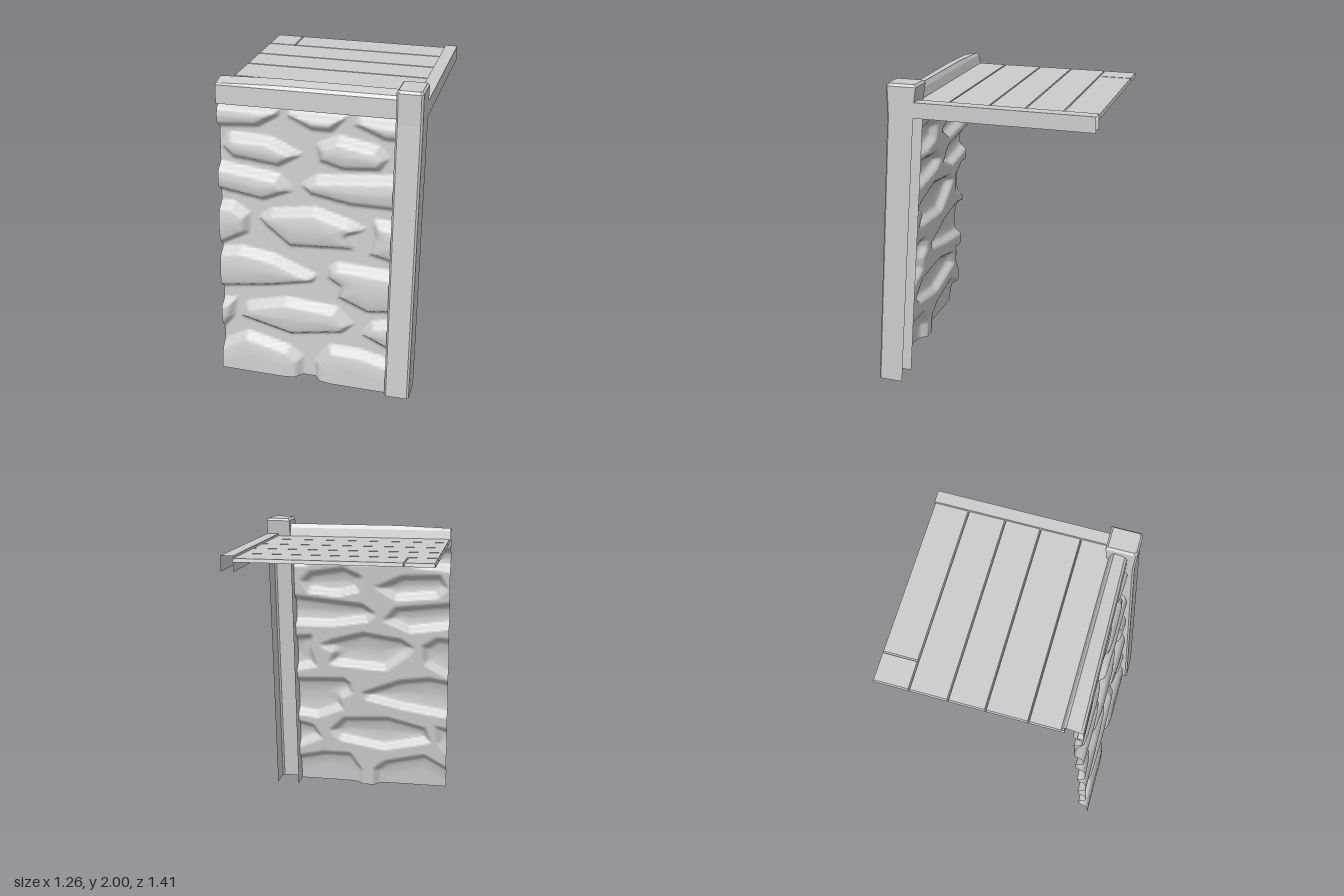
import * as THREE from 'three';

const grey = (flat) => new THREE.MeshStandardMaterial({ color: 0xcccccc, flatShading: flat, side: THREE.DoubleSide });

// Skin a grid of [x, y, z] rows into one sheet; rows run left to right, bottom to top.
function sheet(name, rows, smooth = false) {
  const n = rows[0].length, index = [];
  for (let r = 0; r < rows.length - 1; r++) {
    for (let c = 0; c < n - 1; c++) {
      const a = r * n + c, d = a + n;
      index.push(a, a + 1, d + 1, a, d + 1, d);
    }
  }
  let geo = new THREE.BufferGeometry();
  geo.setAttribute('position', new THREE.Float32BufferAttribute(rows.flat(2), 3));
  geo.setIndex(index);
  if (!smooth) geo = geo.toNonIndexed();
  geo.computeVertexNormals();
  const mesh = new THREE.Mesh(geo, grey(!smooth));
  mesh.name = name;
  return mesh;
}

// Stone outlines, as x, y pairs on the wall face
const stones = [];
const stone = (...v) => {
  const pts = [];
  for (let i = 0; i < v.length; i += 2) pts.push([v[i], v[i + 1]]);
  stones.push(pts);
};
// bottom course
stone(-.8, .14, -.63, .18, -.47, .27, -.18, .2, -.09, .13, -.1, -.2, -.8, -.2);
stone(0, -.2, -.01, .12, .08, .25, .28, .25, .6, .18, .6, -.2);
// second course
stone(-.8, .46, -.54, .5, -.56, .36, -.63, .27, -.8, .27);
stone(-.52, .37, -.48, .48, -.2, .55, .13, .53, .24, .42, .17, .35, -.17, .29);
stone(.29, .36, .35, .46, .6, .52, .6, .22);
// third course
stone(-.8, .82, -.5, .87, -.28, .84, 0, .73, -.03, .68, -.3, .62, -.63, .57, -.8, .57);
stone(.07, .8, .12, .84, .6, .82, .6, .56, .33, .52, .13, .6, .14, .68, .06, .73);
// fourth course
stone(-.8, 1.15, -.55, 1.17, -.44, 1.1, -.45, .97, -.63, .87, -.8, .87);
stone(-.39, 1.09, -.3, 1.15, -.02, 1.19, .2, 1.13, .31, 1.08, .2, 1.03, .24, .94, -.18, .91, -.34, 1.03);
stone(.34, 1.16, .6, 1.14, .6, .86, .32, .92, .35, 1.05);
// fifth course
stone(-.8, 1.45, -.6, 1.42, -.25, 1.38, -.16, 1.28, -.35, 1.2, -.63, 1.24, -.8, 1.25);
stone(-.12, 1.33, -.02, 1.4, .6, 1.46, .6, 1.23, .2, 1.23, -.05, 1.27);
// sixth course
stone(-.62, 1.53, -.57, 1.62, -.3, 1.61, -.1, 1.52, -.25, 1.43, -.55, 1.46);
stone(-.02, 1.6, .12, 1.66, .36, 1.62, .43, 1.55, .38, 1.47, .15, 1.45, 0, 1.49);
// top course
stone(-.8, 1.82, -.24, 1.8, -.25, 1.75, -.38, 1.67, -.63, 1.65, -.8, 1.65);
stone(-.2, 1.79, -.2, 1.75, -.05, 1.68, .08, 1.68, .18, 1.79);
stone(.2, 1.74, .24, 1.79, .6, 1.79, .6, 1.66, .4, 1.66);

// Distance from a point inward to the outline (0 when outside)
function depthInside(pts, x, y) {
  let inside = false, best = Infinity;
  pts.forEach(([ax, ay], i) => {
    const [bx, by] = pts[(i + 1) % pts.length];
    if ((ay > y) !== (by > y) && x < ax + (bx - ax) * (y - ay) / (by - ay)) inside = !inside;
    const dx = bx - ax, dy = by - ay;
    const t = THREE.MathUtils.clamp(((x - ax) * dx + (y - ay) * dy) / (dx * dx + dy * dy), 0, 1);
    best = Math.min(best, Math.hypot(x - ax - t * dx, y - ay - t * dy));
  });
  return inside ? best : 0;
}

// Steep rim followed by a soft dome
function bulge(x, y) {
  const d = Math.max(...stones.map((s) => depthInside(s, x, y)));
  return .035 * Math.min(d / .035, 1) + .025 * (1 - (1 - Math.min(d / .14, 1)) ** 2);
}

const LEAN = .078; // backward slope of wall and post

function stoneWall() {
  const rows = [], nx = 80, ny = 130;
  for (let j = 0; j <= ny; j++) {
    const y = 1.83 * j / ny, row = [];
    for (let i = 0; i <= nx; i++) {
      const x = -.63 + 1.11 * i / nx;
      row.push([x, y, .612 - LEAN * y + bulge(x, y)]);
    }
    rows.push(row);
  }
  return sheet('stoneWall', rows, true);
}

// Post outline at one height: open at the back, chamfered at the front
function postRing(y, back, front, inset = 0) {
  const l = .47 + inset, r = .628 - inset, f = front - inset, b = back + inset, c = .012;
  return [[l, y, b], [l, y, f - c], [l + c, y, f], [r - c, y, f], [r, y, f - c], [r, y, b]];
}

function cornerPost() {
  const group = new THREE.Group();
  group.name = 'cornerPost';
  group.add(sheet('postShaft', [postRing(0, .54, .703), postRing(1.8, .393, .562), postRing(1.88, .388, .562)]));
  // closed cap with a bevelled top
  const close = (ring) => [...ring, ring[0]];
  const top = close(postRing(2, .37, .562, .012));
  group.add(sheet('postCap', [
    close(postRing(1.88, .388, .562)), close(postRing(1.985, .37, .562)),
    top, top.map(() => [.549, 2, .466]),
  ]));
  return group;
}

// Board with its edges turned down, so neighbours form a narrow groove
function board(x0, x1, z0, z1) {
  const e = .005, y = 1.88, drop = .022;
  const xs = [x0, x0 + e, x1 - e, x1], zs = [z1, z1 - e, z0 + e, z0];
  return sheet('deckBoard', zs.map((z, j) => xs.map((x, i) =>
    [x, j % 3 === 0 || i % 3 === 0 ? y - drop : y, z])));
}

function deck() {
  const group = new THREE.Group();
  group.name = 'deck';
  const joints = [-.49, -.26, -.04, .21, .42];
  for (let i = 0; i < 4; i++) group.add(board(-.63, .555, joints[i], joints[i + 1]));
  group.add(board(-.63, -.45, -.705, -.49), board(-.45, .555, -.705, -.49));
  // channel along the side, open below and at its ends
  const section = [[.55, 1.8], [.55, 1.895], [.628, 1.895], [.628, 1.8]];
  group.add(sheet('sideTrim', [.395, -.705].map((z) => section.map(([x, y]) => [x, y, z]))));
  return group;
}

// Slightly warped timber on top of the wall, as stations along x
function topBeam() {
  const stations = [[-.63, -.012, 0], [-.27, 0, .022], [.17, 0, 0], [.48, 0, -.004]];
  const rows = stations.map(([x, rise, belly]) => {
    const f = .525 - .018 * (x + .63);
    return [[x, 1.81 + belly, f - .03], [x, 1.81, f + .006], [x, 1.925, f], [x, 1.945 + rise, f - .015],
      [x, 1.963 + rise, .425], [x, 1.935, .41], [x, 1.87, .395]];
  });
  return sheet('topBeam', rows.reverse());
}

export function createModel() {
  const model = new THREE.Group();
  model.name = 'stoneWallWithDeck';
  model.add(stoneWall(), cornerPost(), deck(), topBeam());
  return model;
}
